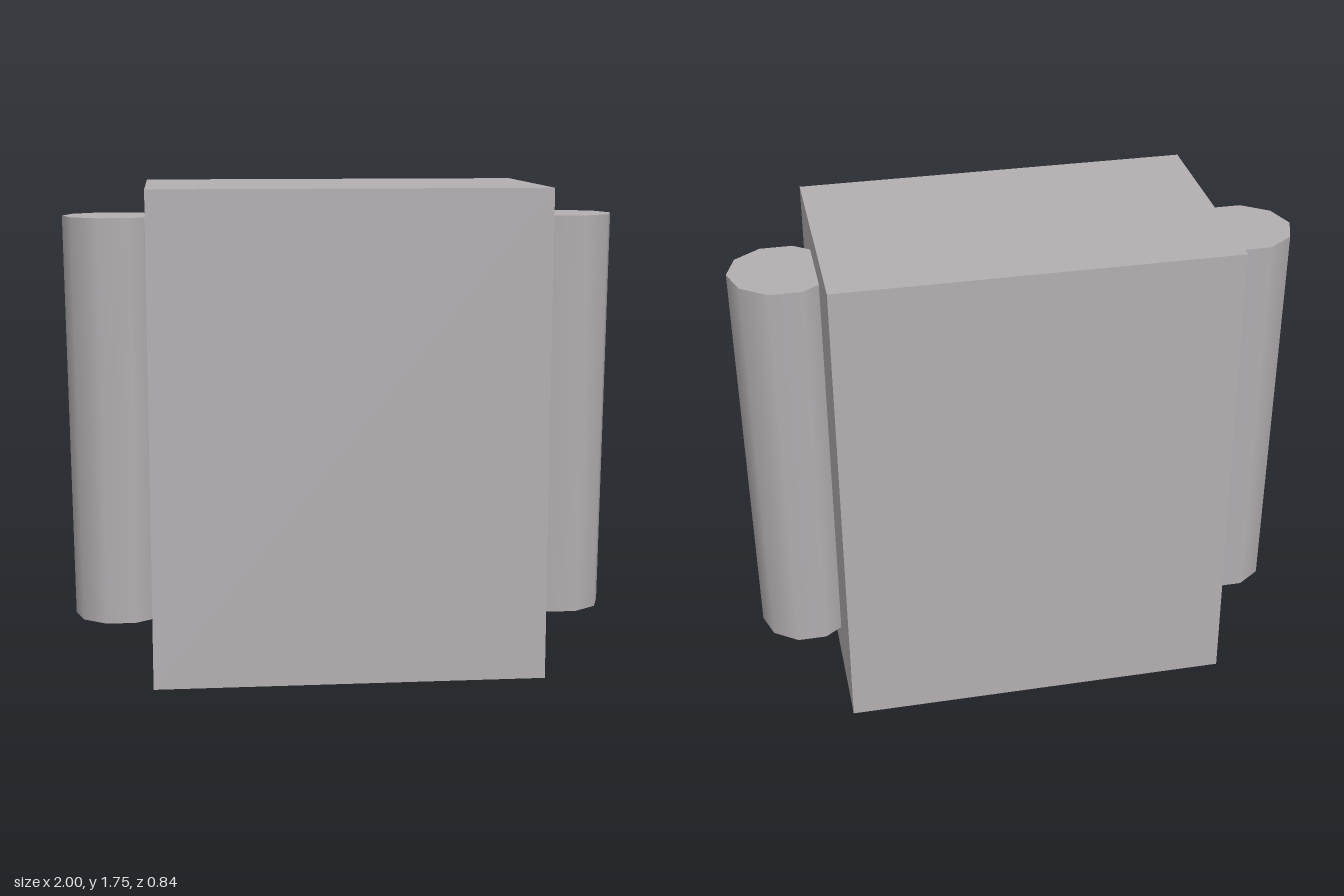
import * as THREE from 'three';

export function createModel() {
  const model = new THREE.Group();
  model.name = 'model';

  const grey = new THREE.MeshStandardMaterial({ color: 0xb4afb2 });
  grey.name = 'warm grey';

  // Upright rectangular block
  const body = new THREE.Mesh(new THREE.BoxGeometry(1.4, 1.75, 0.84), grey);
  body.name = 'body';
  body.position.y = 0.875;
  model.add(body);

  // Tapered ten-sided columns sunk into both sides, one corner pointing outward
  const bottom = 0.17, top = 1.64;
  const columnGeometry = new THREE.CylinderGeometry(0.185, 0.17, top - bottom, 10, 1, false, Math.PI / 2);
  for (const [name, side] of [['leftColumn', 1], ['rightColumn', -1]]) {
    const column = new THREE.Mesh(columnGeometry, grey);
    column.name = name;
    column.position.set(side * 0.815, (bottom + top) / 2, 0);
    model.add(column);
  }

  return model;
}
